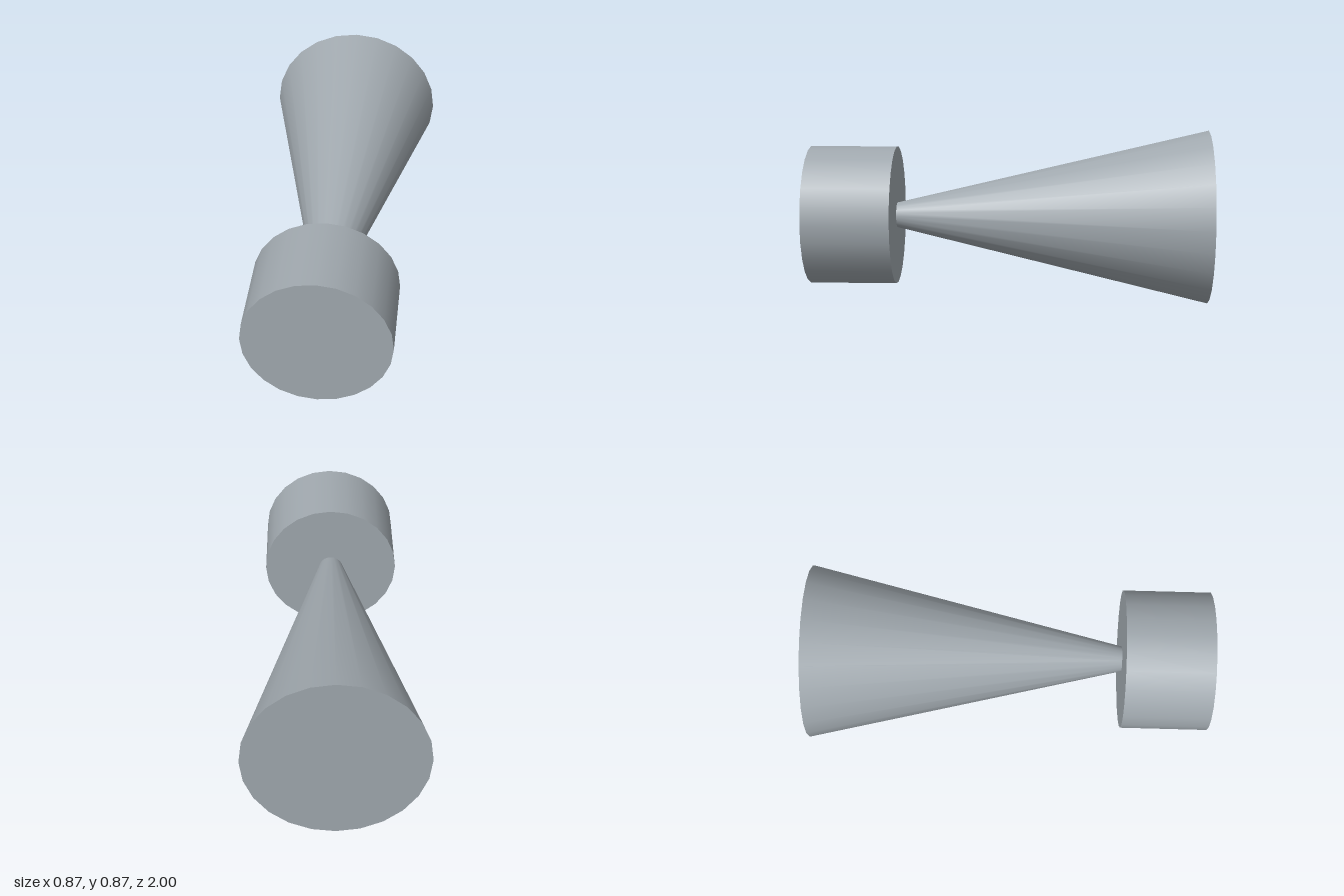
import * as THREE from 'three';

export function createModel() {
  const group = new THREE.Group();
  const grey = new THREE.MeshStandardMaterial({ color: 0xa0a8ae });
  grey.name = 'plain grey';

  const axisY = 0.436;
  const sides = 24;

  // Round part lying along z, from its back end to its front end
  function addRound(name, backRadius, frontRadius, backZ, frontZ) {
    const geometry = new THREE.CylinderGeometry(frontRadius, backRadius, frontZ - backZ, sides);
    geometry.rotateX(Math.PI / 2);
    const mesh = new THREE.Mesh(geometry, grey);
    mesh.name = name;
    mesh.position.set(0, axisY, (backZ + frontZ) / 2);
    group.add(mesh);
  }

  // Drum at the front, flared cone narrowing towards it
  addRound('drum', 0.349, 0.349, 0.565, 1);
  addRound('cone', 0.436, 0.063, -1, 0.565);

  return group;
}
